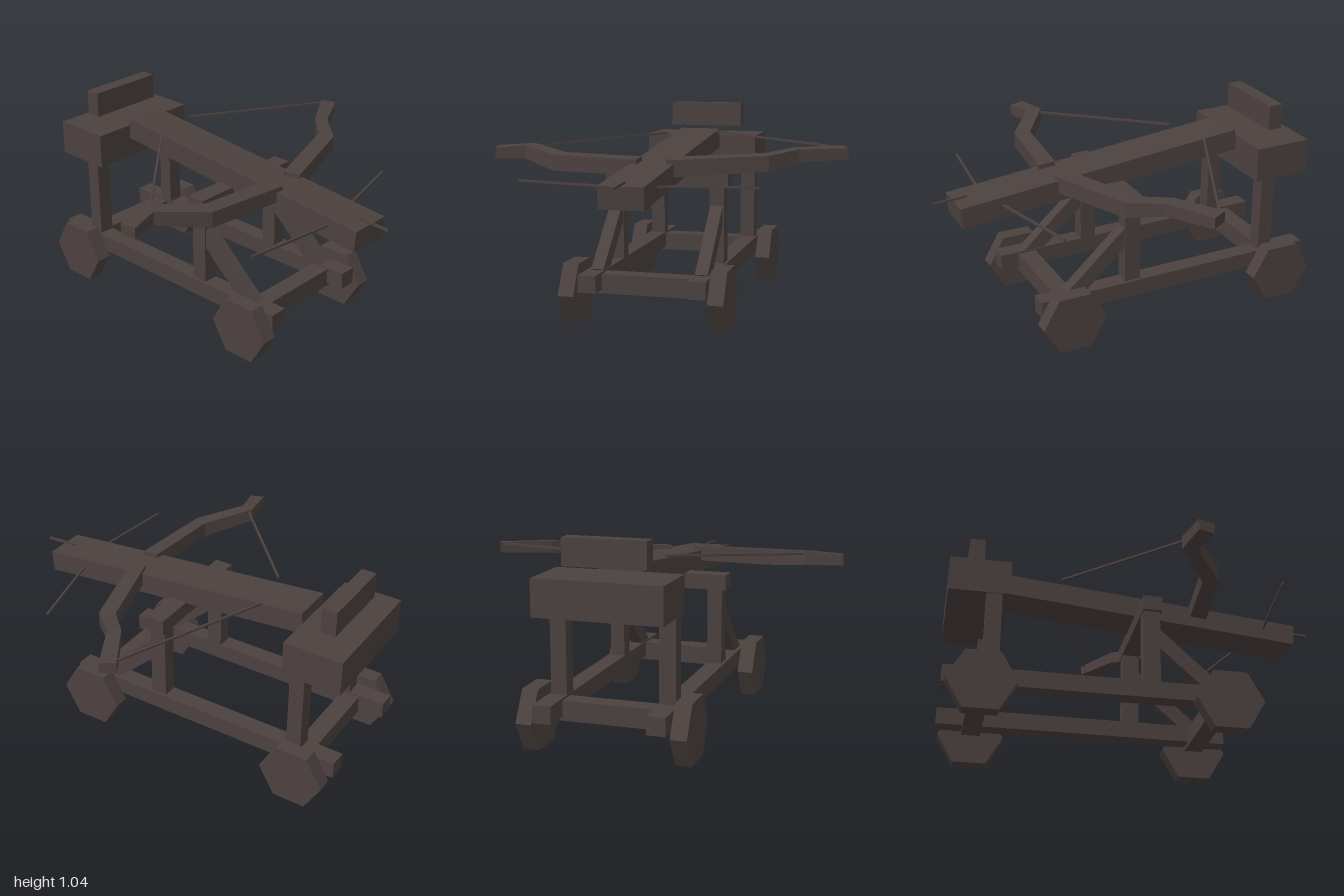
import * as THREE from 'three';

export function createModel() {
  const group = new THREE.Group();
  const wood = new THREE.MeshStandardMaterial({ color: 0x4b413f });
  wood.name = 'darkWood';

  const add = (name, geometry) => {
    const mesh = new THREE.Mesh(geometry, wood);
    mesh.name = name;
    group.add(mesh);
    return mesh;
  };

  // Box given by its extents on each axis
  const block = (name, [x0, x1], [y0, y1], [z0, z1]) => {
    const mesh = add(name, new THREE.BoxGeometry(x1 - x0, y1 - y0, z1 - z0));
    mesh.position.set((x0 + x1) / 2, (y0 + y1) / 2, (z0 + z1) / 2);
    return mesh;
  };

  // Square bar between two points
  const bar = (name, from, to, width, depth = width) => {
    const a = new THREE.Vector3(...from);
    const b = new THREE.Vector3(...to);
    const mesh = add(name, new THREE.BoxGeometry(width, depth, a.distanceTo(b)));
    mesh.position.copy(a).add(b).multiplyScalar(0.5);
    mesh.lookAt(b);
    return mesh;
  };

  // Undercarriage, posts, braces and wheels on both sides
  const middle = -0.01;
  for (const [side, s] of [['left', 1], ['right', -1]]) {
    const span = (inner, outer) => [middle + s * inner, middle + s * outer].sort((a, b) => a - b);
    block(side + 'Rail', span(0.235, 0.329), [0.17, 0.26], [-1, 0.57]);
    block(side + 'MiddlePost', span(0.236, 0.314), [0.25, 0.7], [0.005, 0.092]);
    block(side + 'RearPost', span(0.234, 0.316), [0.25, 0.7], [-0.805, -0.725]);
    const x = middle + s * 0.273;
    bar(side + 'Brace', [x, 0.54, 0.06], [x, 0.235, 0.4], 0.067, 0.08);

    for (const [end, z] of [['Front', 0.425], ['Rear', -0.81]]) {
      const geometry = new THREE.CylinderGeometry(0.175, 0.175, 0.082, 6).toNonIndexed();
      geometry.rotateZ(Math.PI / 2);
      geometry.computeVertexNormals();
      const wheel = add(side + end + 'Wheel', geometry);
      wheel.position.set(middle + s * 0.384, 0.154, z);
    }
  }

  // Cross members
  block('frontAxleBeam', [-0.338, 0.318], [0.15, 0.25], [0.37, 0.47]);
  block('rearAxleBeam', [-0.338, 0.318], [0.15, 0.25], [-0.86, -0.76]);
  block('middleCrossbar', [-0.345, 0.326], [0.66, 0.74], [0, 0.1]);

  // Rear housing and the block hovering above it
  block('rearHousing', [-0.33, 0.315], [0.68, 0.865], [-1, -0.685]);
  block('topBlock', [-0.22, 0.2], [0.91, 1.045], [-0.9, -0.82]);

  // Sloping stock
  bar('stock', [-0.008, 0.849, -0.674], [-0.008, 0.705, 0.89], 0.226, 0.112);

  // Bow arm lofted through stations of
  // [back x, back z, front x, front z, low, high], sheared to the stock's slope
  const bowArm = (name, stations) => {
    const rings = stations.map(([bx, bz, fx, fz, low, high]) => [
      [bx, low, bz], [fx, low, fz], [fx, high, fz], [bx, high, bz],
    ].map(([x, y, z]) => [x, y - 0.092 * z, z]));
    const positions = [];
    // Stations run outward, so the facing order depends on the side
    const flip = stations[0][0] < 0;
    const quad = (a, b, c, d) => {
      const corners = flip ? [a, c, b, a, d, c] : [a, b, c, a, c, d];
      corners.forEach((p) => positions.push(...p));
    };
    for (let i = 0; i < rings.length - 1; i++) {
      for (let k = 0; k < 4; k++) {
        const n = (k + 1) % 4;
        quad(rings[i][k], rings[i + 1][k], rings[i + 1][n], rings[i][n]);
      }
    }
    const last = rings[rings.length - 1];
    quad(...rings[0]);
    quad(last[3], last[2], last[1], last[0]);
    const geometry = new THREE.BufferGeometry();
    geometry.setAttribute('position', new THREE.Float32BufferAttribute(positions, 3));
    geometry.computeVertexNormals();
    add(name, geometry);
  };
  bowArm('rightBowArm', [
    [-0.077, 0.31, -0.082, 0.4, 0.788, 0.866],
    [-0.5, 0.275, -0.54, 0.353, 0.786, 0.87],
    [-0.74, 0.11, -0.765, 0.185, 0.81, 0.882],
    [-0.936, 0.146, -0.92, 0.225, 0.814, 0.872],
  ]);
  bowArm('leftBowArm', [
    [0.045, 0.3, 0.077, 0.38, 0.776, 0.864],
    [0.53, 0.14, 0.56, 0.22, 0.789, 0.868],
    [0.655, 0.013, 0.69, 0.072, 0.81, 0.876],
    [0.89, -0.13, 0.926, -0.055, 0.808, 0.865],
  ]);

  // Slack bowstrings and thin front rods
  bar('rightBowstring', [-0.735, 0.855, 0.13], [-0.14, 0.897, -0.4], 0.011);
  bar('leftBowstring', [0.88, 0.868, -0.105], [0.13, 0.906, -0.457], 0.011);
  bar('rightRod', [-0.605, 0.742, 0.67], [-0.08, 0.734, 0.722], 0.011);
  bar('leftRod', [0.575, 0.731, 0.545], [0.06, 0.736, 0.681], 0.011);
  bar('boltTip', [-0.01, 0.763, 1], [-0.01, 0.772, 0.82], 0.011);

  return group;
}
